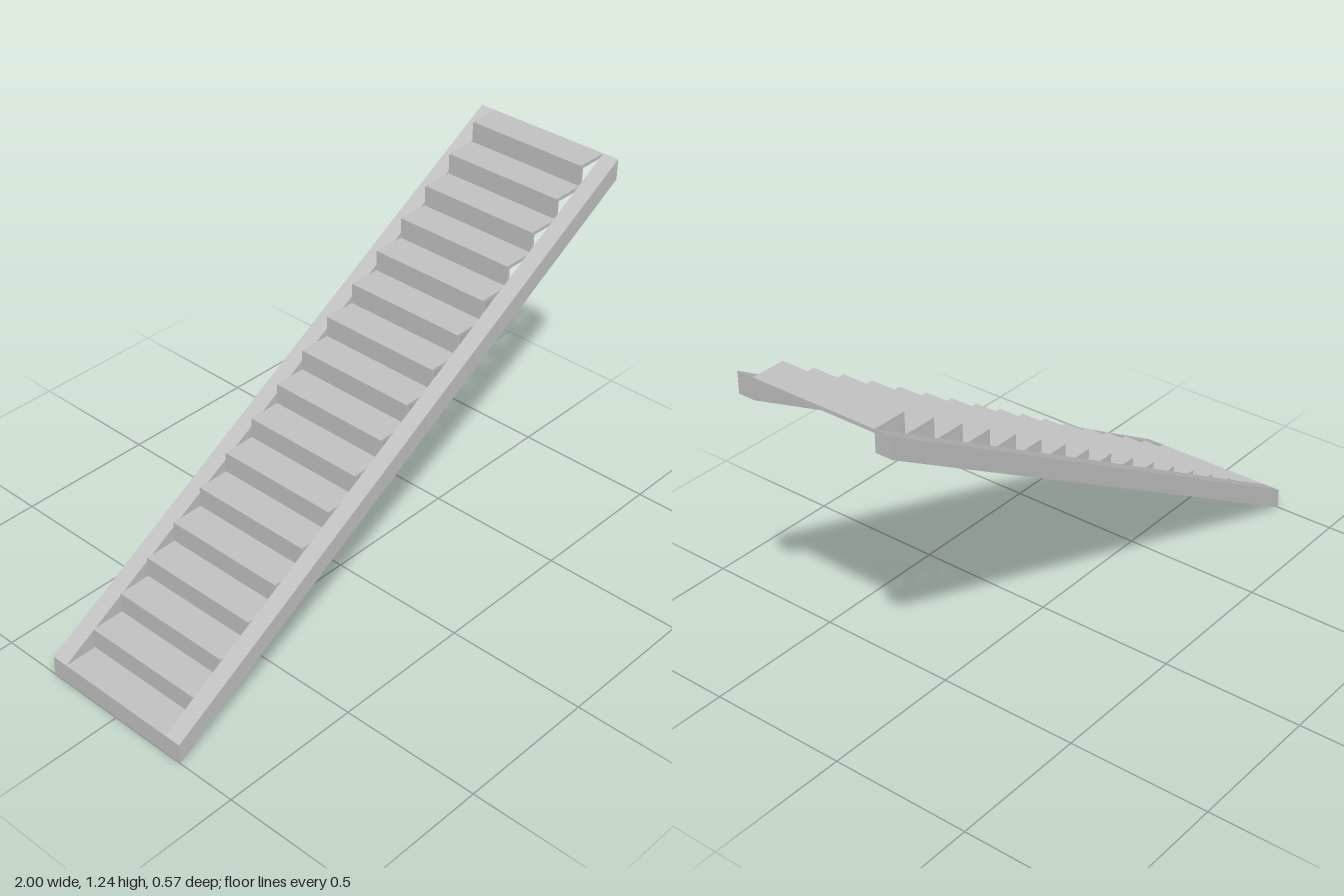
import * as THREE from 'three';

const STEPS = 17;
const HEIGHT = 1.24;
const RUN = 2 / STEPS;
const RISE = HEIGHT / STEPS;
const SHEET = 0.012;   // thickness of treads and risers
const INNER = 0.2245;  // half width between the stringers
const OUTER = 0.284;

export function createModel() {
  const group = new THREE.Group();
  const grey = new THREE.MeshStandardMaterial({ color: 0xc2c2c2 });
  grey.name = 'light grey';

  function add(name, geometry, x, y, z) {
    const mesh = new THREE.Mesh(geometry, grey);
    mesh.name = name;
    mesh.position.set(x, y, z);
    group.add(mesh);
  }

  // Sloping side beams with upright ends
  const side = new THREE.Shape([
    new THREE.Vector2(-1, 0),
    new THREE.Vector2(1, HEIGHT - RISE),
    new THREE.Vector2(1, HEIGHT),
    new THREE.Vector2(-1, RISE),
  ]);
  const beam = new THREE.ExtrudeGeometry(side, { depth: OUTER - INNER, bevelEnabled: false });
  add('leftStringer', beam, 0, 0, INNER);
  add('rightStringer', beam, 0, 0, -OUTER);

  // Thin treads and risers, open underneath
  const tread = new THREE.BoxGeometry(RUN, SHEET, INNER * 2);
  for (let i = 0; i < STEPS; i++) {
    const x = -1 + i * RUN;
    const top = (i + 1) * RISE;
    const bottom = Math.max(0, i * RISE - SHEET);
    const height = top - SHEET - bottom;
    add('tread', tread, x + RUN / 2, top - SHEET / 2, 0);
    add('riser', new THREE.BoxGeometry(SHEET, height, INNER * 2),
      x + SHEET / 2, bottom + height / 2, 0);
  }
  return group;
}
